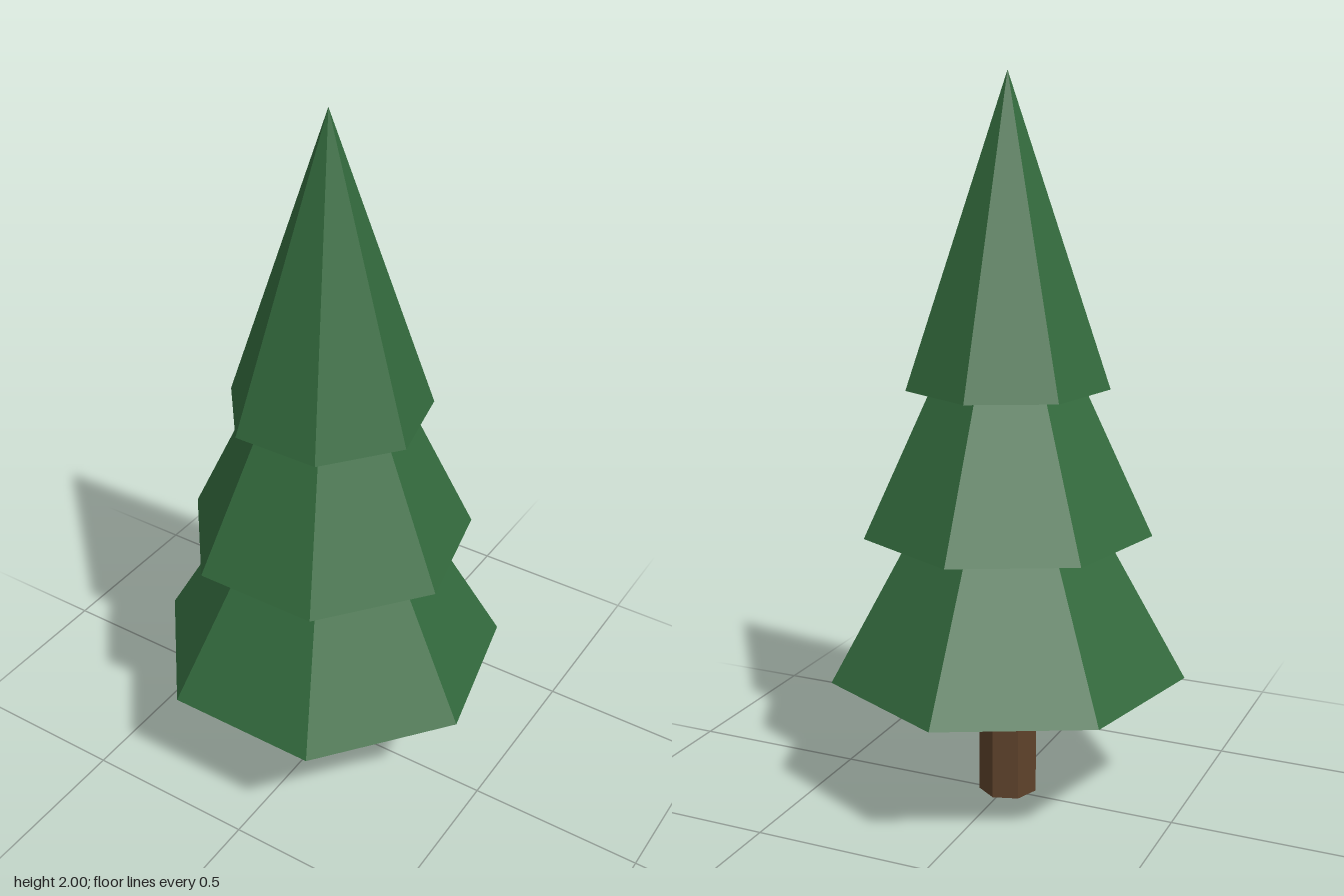
import * as THREE from 'three';

export function createModel() {
  const tree = new THREE.Group();
  tree.name = 'pineTree';
  const sides = 7;
  const centreZ = 0.023;
  const bark = new THREE.MeshStandardMaterial({ color: 0x5e422b, flatShading: true });
  const needles = new THREE.MeshStandardMaterial({ color: 0x336a3d, flatShading: true });

  // Trunk: seven-sided post, turned against the foliage and reaching inside it
  const trunkHeight = 0.6;
  const trunk = new THREE.Mesh(
    new THREE.CylinderGeometry(0.083, 0.083, trunkHeight, sides, 1, false, THREE.MathUtils.degToRad(17.3)),
    bark
  );
  trunk.name = 'trunk';
  trunk.position.set(-0.003, trunkHeight / 2, 0.024);
  tree.add(trunk);

  // Foliage: three nested cones, a corner to the back and a flat side to the front
  const tiers = [
    { name: 'lowerFoliage', base: 0.37, radius: 0.498, height: 0.88 },
    { name: 'middleFoliage', base: 0.773, radius: 0.4, height: 0.85 },
    { name: 'upperFoliage', base: 1.173, radius: 0.28, height: 0.827 },
  ];
  for (const { name, base, radius, height } of tiers) {
    const tier = new THREE.Mesh(
      new THREE.ConeGeometry(radius, height, sides, 1, false, Math.PI),
      needles
    );
    tier.name = name;
    tier.position.set(0, base + height / 2, centreZ);
    tree.add(tier);
  }
  return tree;
}
